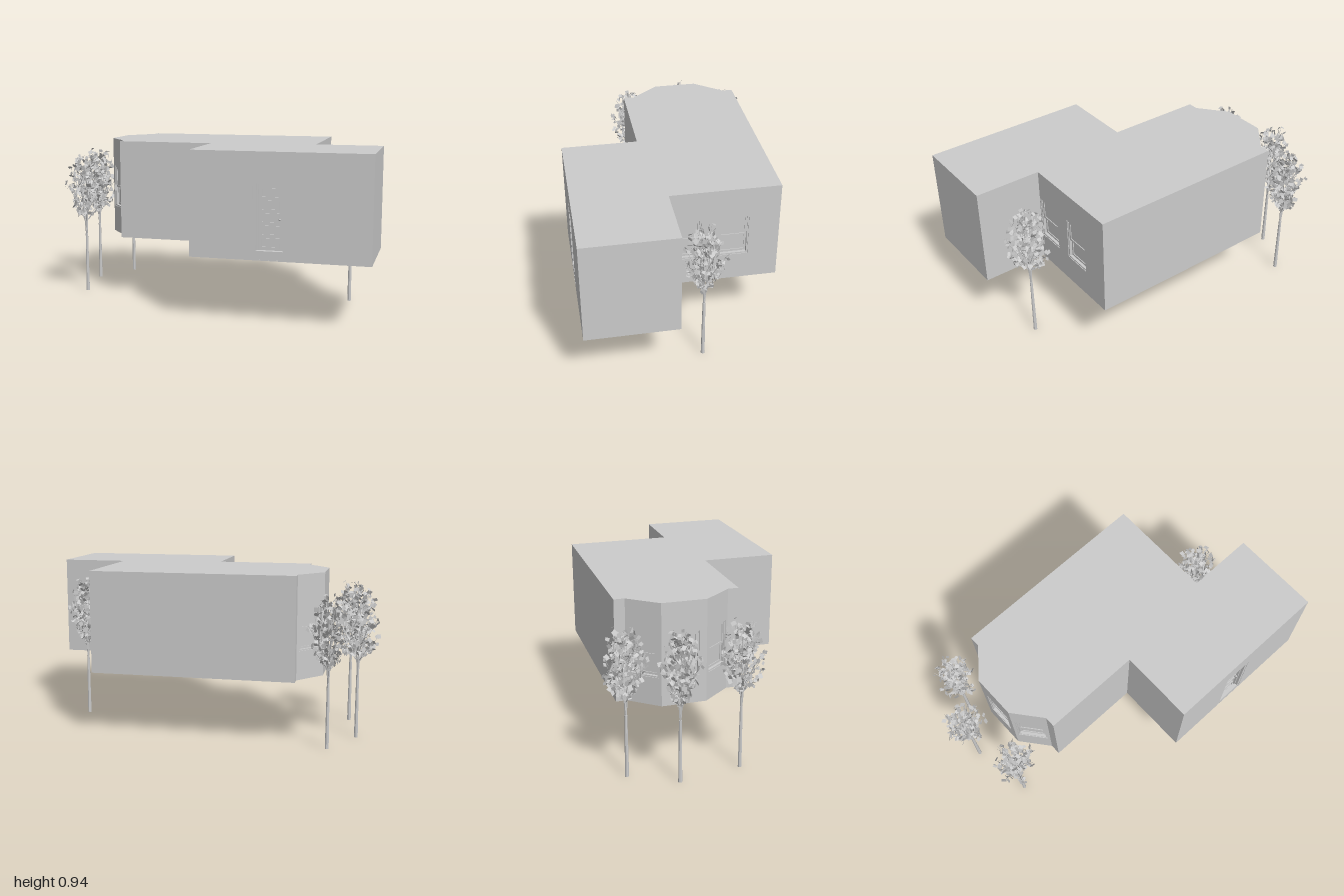
import * as THREE from 'three';
import { mergeGeometries } from 'three/addons/utils/BufferGeometryUtils.js';

const Y0 = 0.36, Y1 = 0.94, WALL = 0.035;
const mat = new THREE.MeshStandardMaterial({ color: 0xcccccc, flatShading: true });
const leafMat = new THREE.MeshStandardMaterial({ color: 0xcccccc, flatShading: true, side: THREE.DoubleSide });

// Footprint corners (x, z), walked so that each wall's outside is its local +z
const plan = [
  [0.02, 0.63], [1, 0.63], [1, 0.12], [0.62, 0.12], [0.62, -0.49], [-0.54, -0.49],
  [-0.54, -0.43], [-0.67, -0.27], [-0.67, -0.02], [-0.54, 0.14], [-0.54, 0.2], [0.02, 0.2],
];
// Openings by wall index; s is the centre measured along the wall
const openings = {
  0: [{ type: 'door', s: 0.44 }],
  3: [{ type: 'window', s: 0.092 }, { type: 'window', s: 0.355 }],
  6: [{ type: 'window', s: 0.103 }],
  7: [{ type: 'window', s: 0.125 }],
  8: [{ type: 'window', s: 0.103 }],
};
const sizes = { door: [0.18, 0.362, 0.8], window: [0.17, 0.52, 0.77] };

function mesh(name, geometry, material = mat) {
  const m = new THREE.Mesh(geometry, material);
  m.name = name;
  return m;
}

function box(parent, name, x, y, z, w, h, d) {
  const m = mesh(name, new THREE.BoxGeometry(w, h, d));
  m.position.set(x, y, z);
  parent.add(m);
}

function rect(Type, x0, y0, x1, y1) {
  return new Type([[x0, y0], [x1, y0], [x1, y1], [x0, y1]].map(p => new THREE.Vector2(...p)));
}

// Rectangular border with an open middle, its back at z
function border(parent, name, x0, y0, x1, y1, t, z, depth) {
  const s = rect(THREE.Shape, x0, y0, x1, y1);
  s.holes.push(rect(THREE.Path, x0 + t, y0 + t, x1 - t, y1 - t));
  const m = mesh(name, new THREE.ExtrudeGeometry(s, { depth, bevelEnabled: false }));
  m.position.z = z;
  parent.add(m);
}

// Double-hung window: upper sash forward, lower sash set back
function makeWindow() {
  const g = new THREE.Group();
  g.name = 'window';
  const mid = 0.645;
  border(g, 'windowFrame', -0.085, 0.52, 0.085, 0.77, 0.008, -0.034, 0.03);
  border(g, 'upperSash', -0.077, mid - 0.006, 0.077, 0.762, 0.012, -0.018, 0.01);
  border(g, 'lowerSash', -0.077, 0.528, 0.077, mid + 0.006, 0.012, -0.03, 0.01);
  box(g, 'upperGlass', 0, 0.704, -0.014, 0.14, 0.11, 0.003);
  box(g, 'lowerGlass', 0, 0.587, -0.026, 0.14, 0.112, 0.003);
  return g;
}

// Panelled door with frame, step and knob
function makeDoor() {
  const g = new THREE.Group();
  g.name = 'door';
  for (const side of [-1, 1]) {
    box(g, 'doorJamb', side * 0.081, 0.58, -0.018, 0.018, 0.44, 0.032);
    box(g, 'doorStop', side * 0.068, 0.595, -0.026, 0.008, 0.36, 0.02);
  }
  box(g, 'doorHead', 0, 0.785, -0.018, 0.18, 0.03, 0.032);
  box(g, 'doorStep', 0, 0.387, -0.018, 0.146, 0.05, 0.034);
  box(g, 'doorSlab', 0, 0.59, -0.034, 0.146, 0.362, 0.01);
  for (let i = 0; i < 5; i++) {
    const y = 0.452 + i * 0.067;
    border(g, 'doorPanelMoulding', -0.05, y - 0.026, 0.05, y + 0.026, 0.005, -0.03, 0.006);
  }
  const knob = mesh('doorKnob', new THREE.SphereGeometry(0.006, 8, 6));
  knob.position.set(0.052, 0.58, -0.02);
  g.add(knob);
  return g;
}

function makeHouse() {
  const house = new THREE.Group();
  house.name = 'house';
  plan.forEach(([ax, az], i) => {
    const [bx, bz] = plan[(i + 1) % plan.length];
    const g = new THREE.Group();
    g.name = 'wallSection';
    g.position.set(ax, 0, az);
    g.rotation.y = Math.atan2(az - bz, bx - ax);
    const shape = rect(THREE.Shape, 0, Y0, Math.hypot(bx - ax, bz - az), Y1);
    for (const { type, s } of openings[i] || []) {
      const [w, y0, y1] = sizes[type];
      shape.holes.push(rect(THREE.Path, s - w / 2, y0, s + w / 2, y1));
      const part = type === 'door' ? makeDoor() : makeWindow();
      part.position.x = s;
      g.add(part);
    }
    const wall = mesh('wall', new THREE.ExtrudeGeometry(shape, { depth: WALL, bevelEnabled: false }));
    wall.position.z = -WALL;
    g.add(wall);
    house.add(g);
  });
  // Flat roof and underside
  const outline = new THREE.Shape(plan.map(([x, z]) => new THREE.Vector2(x, -z)));
  for (const [name, y] of [['roof', Y1 - 0.005], ['floor', Y0]]) {
    const slab = mesh(name, new THREE.ExtrudeGeometry(outline, { depth: 0.005, bevelEnabled: false }));
    slab.rotation.x = -Math.PI / 2;
    slab.position.y = y;
    house.add(slab);
  }
  return house;
}

function seeded(seed) {
  return () => (seed = (seed * 16807) % 2147483647) / 2147483647;
}

function limb(a, b, r0, r1, sides = 5) {
  const dir = b.clone().sub(a);
  const g = new THREE.CylinderGeometry(r1, r0, dir.length(), sides);
  g.applyQuaternion(new THREE.Quaternion().setFromUnitVectors(new THREE.Vector3(0, 1, 0), dir.normalize()));
  return g.translate((a.x + b.x) / 2, (a.y + b.y) / 2, (a.z + b.z) / 2);
}

// Slender tree geometry: forked trunk, tiers of seven arms, flat leaves along each arm
function treeGeometries() {
  const rnd = seeded(4711), V = (x, y, z) => new THREE.Vector3(x, y, z);
  const fork = V(0, 0.36, 0);
  const wood = [limb(V(0, 0, 0), fork, 0.011, 0.008, 8)], leaves = [];
  for (let i = 0; i < 3; i++) {
    const a = i * 2.1 + 0.4;
    wood.push(limb(fork, V(0.03 * Math.cos(a), 0.74, 0.03 * Math.sin(a)), 0.006, 0.002));
  }
  // tier: start height, end height, reach
  const tiers = [[0.43, 0.57, 0.115], [0.48, 0.69, 0.115], [0.55, 0.77, 0.085], [0.62, 0.83, 0.05]];
  tiers.forEach(([y0, y1, reach], t) => {
    for (let i = 0; i < 7; i++) {
      const a = (i + (rnd() - 0.5) * 0.35) / 7 * Math.PI * 2;
      const r = reach * (t === 0 && i % 2 ? 0.45 : 0.85 + 0.25 * rnd());
      const start = V(0.012 * Math.cos(a), y0 + 0.03 * rnd(), 0.012 * Math.sin(a));
      const end = V(r * Math.cos(a), y1 + 0.03 * (rnd() - 0.5), r * Math.sin(a));
      wood.push(limb(start, end, 0.003, 0.001, 4));
      for (let k = 0; k < 14; k++) {
        const size = 0.018 + 0.012 * rnd();
        const p = start.clone().lerp(end, 0.2 + 0.8 * (k + rnd()) / 14);
        const leaf = new THREE.PlaneGeometry(size, size * 0.8);
        leaf.applyMatrix4(new THREE.Matrix4().makeRotationFromEuler(
          new THREE.Euler(rnd() * 6.28, rnd() * 6.28, rnd() * 6.28)));
        const j = () => (rnd() - 0.5) * 0.034;
        leaves.push(leaf.translate(p.x + j(), p.y + j(), p.z + j()));
      }
    }
  });
  return [mergeGeometries(wood), mergeGeometries(leaves)];
}

export function createModel() {
  const model = new THREE.Group();
  model.name = 'houseWithTrees';
  model.add(makeHouse());
  const [wood, leaves] = treeGeometries();
  // x, z, turn
  for (const [x, z, turn] of [[-0.72, -0.48, 0.6], [-0.86, -0.225, 2.2], [-0.795, 0.135, 0], [0.81, -0.04, 1.5]]) {
    const tree = new THREE.Group();
    tree.name = 'tree';
    tree.add(mesh('trunkAndBranches', wood), mesh('leaves', leaves, leafMat));
    tree.position.set(x, 0, z);
    tree.rotation.y = turn;
    model.add(tree);
  }
  return model;
}
